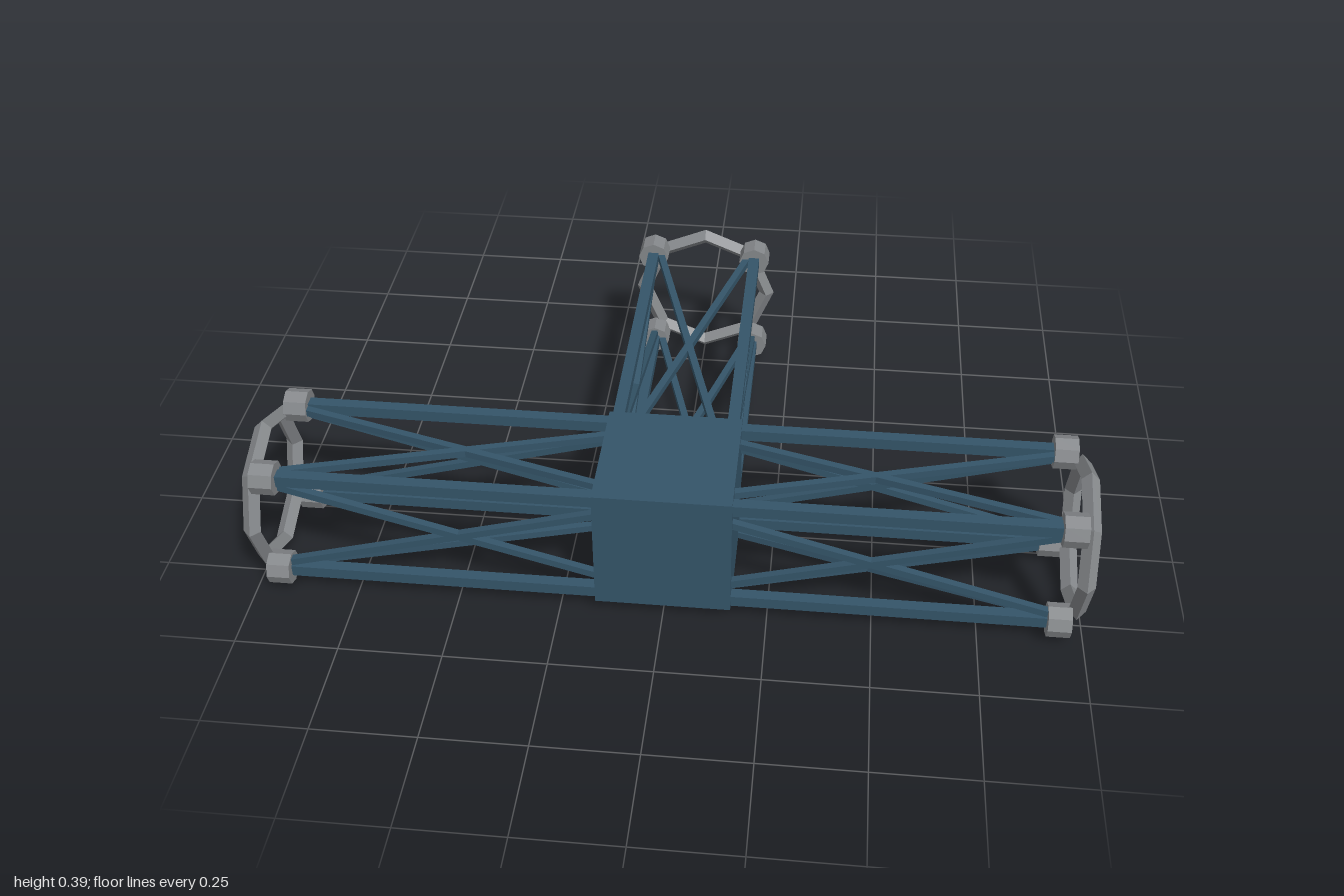
import * as THREE from 'three';

const HUB_Y = 0.199, HUB_Z = 0.4015; // centre of the hub
const OFF = 0.141;                   // truss half width

export function createModel() {
  const steelBlue = new THREE.MeshStandardMaterial({ color: 0x345468 });
  steelBlue.name = 'steelBlue';
  const grey = new THREE.MeshStandardMaterial({ color: 0x84878a });
  grey.name = 'metalGrey';

  const model = new THREE.Group();
  model.name = 'trussJunction';

  const flat = (geometry) => {
    const g = geometry.toNonIndexed();
    g.computeVertexNormals();
    return g;
  };
  const add = (parent, name, geometry, material) => {
    const mesh = new THREE.Mesh(geometry, material);
    mesh.name = name;
    parent.add(mesh);
    return mesh;
  };
  // square bar running from a to b, both in the parent's frame
  const zAxis = new THREE.Vector3(0, 0, 1);
  const bar = (parent, name, a, b, size) => {
    const mesh = add(parent, name, new THREE.BoxGeometry(size, size, a.distanceTo(b)), steelBlue);
    mesh.position.copy(a).add(b).multiplyScalar(0.5);
    mesh.quaternion.setFromUnitVectors(zAxis, b.clone().sub(a).normalize());
  };

  // central hub
  const hub = add(model, 'hub', new THREE.BoxGeometry(0.326, 0.326, 0.326), steelBlue);
  hub.position.set(0, HUB_Y, HUB_Z);

  const clampGeometry = flat(new THREE.CylinderGeometry(0.041, 0.041, 0.056, 8).rotateX(Math.PI / 2));
  const ringGeometry = flat(new THREE.TorusGeometry(0.176, 0.021, 4, 8));

  // one truss arm, built along +z
  const createArm = (name) => {
    const arm = new THREE.Group();
    arm.name = name;
    for (const sx of [-1, 1]) {
      for (const sy of [-1, 1]) {
        const x = sx * OFF, y = sy * OFF;
        bar(arm, 'longeron', new THREE.Vector3(x, y, 0.1), new THREE.Vector3(x, y, 0.967), 0.029);
        add(arm, 'clamp', clampGeometry, grey).position.set(x, y, 0.937);
      }
    }
    // crossed braces on the four sides
    for (let i = 0; i < 4; i++) {
      const side = new THREE.Group();
      side.name = 'crossBraces';
      side.rotation.z = i * Math.PI / 2;
      for (const s of [-1, 1]) {
        bar(side, 'brace', new THREE.Vector3(-s * 0.137, OFF, 0), new THREE.Vector3(s * 0.13, OFF, 0.95), 0.018);
      }
      arm.add(side);
    }
    // octagonal end ring
    add(arm, 'endRing', ringGeometry, grey).position.z = 0.979;
    return arm;
  };

  const arms = [['leftArm', Math.PI / 2], ['rightArm', -Math.PI / 2], ['rearArm', Math.PI]];
  for (const [name, angle] of arms) {
    const arm = createArm(name);
    arm.rotation.y = angle;
    arm.position.set(0, HUB_Y, HUB_Z);
    model.add(arm);
  }
  return model;
}
